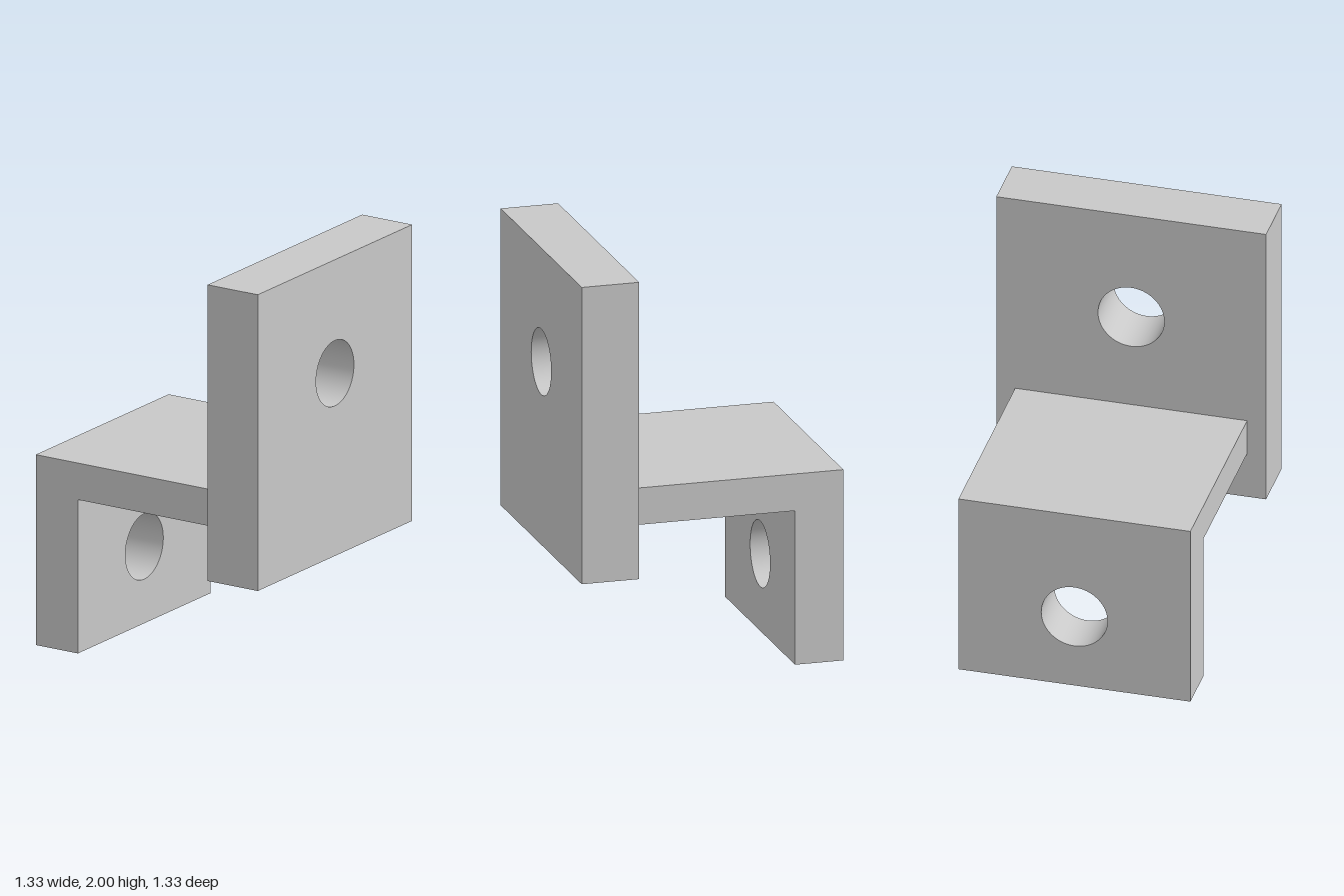
import * as THREE from 'three';
import { toCreasedNormals } from 'three/addons/utils/BufferGeometryUtils.js';

// Upright plate across x, with a round bolt hole through it
function drilledPlate(x0, x1, y0, y1, halfZ, holeY, holeR) {
  const shape = new THREE.Shape();
  shape.moveTo(-halfZ, y0);
  shape.lineTo(halfZ, y0);
  shape.lineTo(halfZ, y1);
  shape.lineTo(-halfZ, y1);
  shape.closePath();
  const hole = new THREE.Path();
  hole.absarc(0, holeY, holeR, 0, Math.PI * 2, true);
  shape.holes.push(hole);
  const geo = new THREE.ExtrudeGeometry(shape, { depth: x1 - x0, bevelEnabled: false, curveSegments: 32 });
  geo.rotateY(Math.PI / 2).translate(x0, 0, 0);
  return toCreasedNormals(geo, 0.5);
}

export function createModel() {
  const group = new THREE.Group();
  group.name = 'bracket';
  const metal = new THREE.MeshStandardMaterial({ color: 0xc8c8c8 });
  metal.name = 'light grey';

  const add = (name, geometry) => {
    const mesh = new THREE.Mesh(geometry, metal);
    mesh.name = name;
    group.add(mesh);
  };

  const holeR = 0.163;
  const legInner = -0.423, plateInner = 0.378;
  const shelfBottom = 0.765, shelfTop = 0.948, halfZ = 0.57;

  // Tall mounting plate and short drilled leg
  add('mountingPlate', drilledPlate(plateInner, 0.663, 0.525, 2, 0.663, 1.435, holeR));
  add('lowerLeg', drilledPlate(-0.663, legInner, 0, shelfTop, halfZ, 0.383, holeR));

  // Shelf joining the two
  const shelf = new THREE.BoxGeometry(plateInner - legInner, shelfTop - shelfBottom, halfZ * 2);
  shelf.translate((plateInner + legInner) / 2, (shelfTop + shelfBottom) / 2, 0);
  add('shelf', shelf);

  return group;
}
